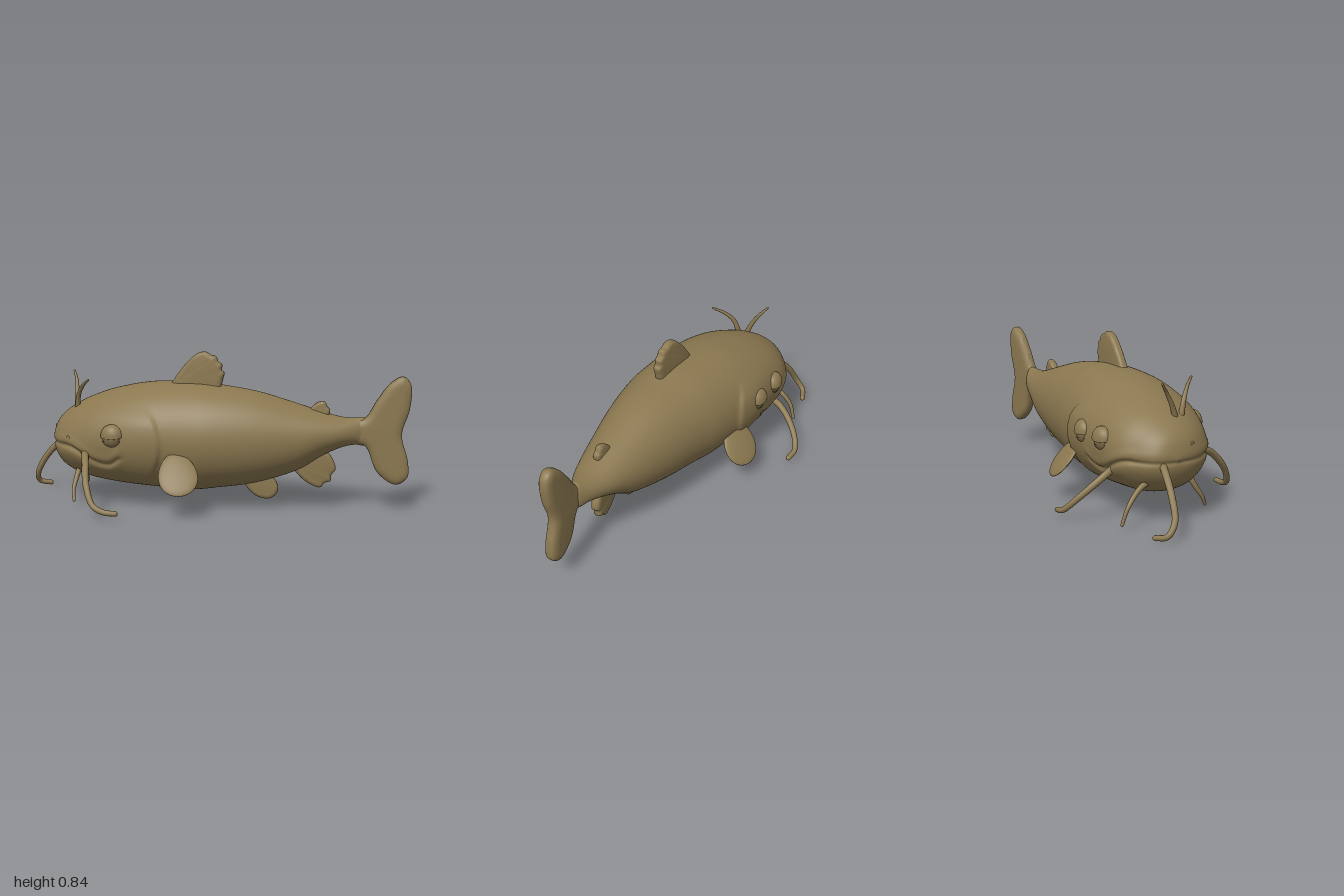
import * as THREE from 'three';
import { toCreasedNormals } from 'three/addons/utils/BufferGeometryUtils.js';

const skin = new THREE.MeshStandardMaterial({ color: 0x8b7850 });
skin.name = 'olive brown skin';

const V = (x, y, z) => new THREE.Vector3(x, y, z);
const bell = (d, w) => Math.exp(-(d * d) / (w * w));
const step = THREE.MathUtils.smoothstep;

function part(parent, name, geometry) {
  const m = new THREE.Mesh(geometry, skin);
  m.name = name;
  parent.add(m);
  return m;
}

// Body cross-sections: along, top, bottom, half width, sideways offset
const sections = [
  [-0.805, 0.35, 0.34, 0.004, -0.09], [-0.79, 0.42, 0.275, 0.085, -0.085],
  [-0.76, 0.47, 0.22, 0.145, -0.078], [-0.7, 0.52, 0.175, 0.205, -0.07],
  [-0.6, 0.575, 0.138, 0.265, -0.068], [-0.45, 0.63, 0.115, 0.302, -0.055],
  [-0.24, 0.672, 0.098, 0.311, -0.045], [0, 0.68, 0.09, 0.292, -0.035],
  [0.146, 0.667, 0.108, 0.272, -0.028], [0.35, 0.635, 0.142, 0.232, -0.035],
  [0.567, 0.573, 0.215, 0.178, -0.05], [0.7, 0.532, 0.298, 0.137, -0.06],
  [0.8, 0.508, 0.345, 0.1, -0.068], [0.87, 0.506, 0.36, 0.066, -0.076],
  [0.915, 0.51, 0.356, 0.04, -0.08], [0.93, 0.49, 0.375, 0.028, -0.08], [0.932, 0.44, 0.43, 0.004, -0.08],
];

function bodyGeometry() {
  const heights = new THREE.CatmullRomCurve3(sections.map(r => V(r[0], r[1], r[2])), false, 'catmullrom');
  const widths = new THREE.CatmullRomCurve3(sections.map(r => V(r[3], r[4], 0)), false, 'catmullrom');
  const rows = 260, cols = 180, pos = [], index = [];
  const headCentre = V(-0.35, 0.34, -0.06), p = V();
  for (let i = 0; i <= rows; i++) {
    const h = heights.getPoint(i / rows), w = widths.getPoint(i / rows);
    for (let j = 0; j < cols; j++) {
      const a = (j / cols) * Math.PI * 2;
      p.set(h.x, (h.y + h.z) / 2 + (h.y - h.z) / 2 * Math.cos(a), w.y + w.x * Math.sin(a));
      const s = p.x, y = p.y;
      // mouth groove with a lip above and below, curling up at the corners
      const mouthY = 0.335 - 0.085 * step(s, -0.68, -0.44) + 0.045 * step(s, -0.42, -0.33);
      const inMouth = (1 - step(s, -0.37, -0.32)) * (0.3 + 0.7 * step(s, -0.8, -0.62));
      const d = y - mouthY;
      let k = inMouth * (0.018 * bell(d - 0.035, 0.026) + 0.01 * bell(d + 0.04, 0.03) - 0.045 * bell(d, 0.012));
      // gill cover standing proud of the flank
      const edge = -0.13 - 2 * (y - 0.37) ** 2;
      const lift = (1 - step(s, edge - 0.016, edge + 0.016)) * step(s, -0.5, -0.2);
      k += 0.05 * lift * step(y, 0.1, 0.2) * (1 - step(y, 0.46, 0.58));
      p.sub(headCentre).multiplyScalar(1 + k).add(headCentre);
      pos.push(p.x, p.y, p.z);
      if (i < rows) {
        const n = (j + 1) % cols, A = i * cols + j, B = i * cols + n;
        index.push(A, B, A + cols, B, B + cols, A + cols);
      }
    }
  }
  const g = new THREE.BufferGeometry();
  g.setAttribute('position', new THREE.Float32BufferAttribute(pos, 3));
  g.setIndex(index);
  g.computeVertexNormals();
  return g;
}

// Upright fin from a smooth closed outline, rounded at the rim and turned about its middle
function uprightFin(parent, name, outline, offset, thick, bevel, turn = 0) {
  const curve = new THREE.CatmullRomCurve3(outline.map(q => V(q[0], q[1], 0)), true);
  const shape = new THREE.Shape(curve.getPoints(90).map(q => new THREE.Vector2(q.x, q.y)));
  const g = new THREE.ExtrudeGeometry(shape, {
    depth: thick * 0.3, bevelThickness: thick * 0.35, bevelSize: bevel, bevelOffset: -bevel, bevelSegments: 5,
  });
  const middle = outline.reduce((sum, q) => sum + q[0], 0) / outline.length;
  g.translate(-middle, 0, -thick * 0.15);
  const m = part(parent, name, toCreasedNormals(g, 1));
  m.position.set(middle, 0, offset);
  m.rotation.y = turn;
}

// Paddle fin: a flat ellipsoid set along two directions
function paddle(parent, name, centre, along, across, size) {
  const x = along.clone().normalize();
  const z = x.clone().cross(across).normalize();
  const y = z.clone().cross(x);
  const g = new THREE.SphereGeometry(1, 32, 20);
  g.scale(...size);
  // broader toward the free end
  const p = g.attributes.position;
  for (let i = 0; i < p.count; i++) p.setY(i, p.getY(i) * (1 + 0.15 * p.getX(i) / size[0]));
  g.computeVertexNormals();
  const m = part(parent, name, g);
  m.quaternion.setFromRotationMatrix(new THREE.Matrix4().makeBasis(x, y, z));
  m.position.copy(centre);
}

// Tapering whisker with a round tip
function whisker(parent, name, points, r0, r1) {
  const curve = new THREE.CatmullRomCurve3(points.map(q => V(...q)));
  const rings = 40, sides = 12;
  const g = new THREE.TubeGeometry(curve, rings, 1, sides);
  const p = g.attributes.position, v = V();
  for (let i = 0; i <= rings; i++) {
    const c = curve.getPointAt(i / rings), r = r0 + (r1 - r0) * i / rings;
    for (let j = 0; j <= sides; j++) {
      const n = i * (sides + 1) + j;
      v.fromBufferAttribute(p, n).sub(c).multiplyScalar(r).add(c);
      p.setXYZ(n, v.x, v.y, v.z);
    }
  }
  part(parent, name, g);
  part(parent, name + 'Tip', new THREE.SphereGeometry(r1, 12, 8)).position.copy(curve.getPoint(1));
}

// Bulging eye with a heavy upper lid and a lower lid
function eye(parent, name, position, turn) {
  const e = new THREE.Group();
  e.name = name;
  part(e, 'eyeball', new THREE.SphereGeometry(0.054, 28, 20));
  const lid = part(e, 'upperLid', new THREE.SphereGeometry(0.062, 32, 14, 0, Math.PI * 2, 0, Math.PI / 2));
  lid.rotation.x = 0.12;
  const rim = part(e, 'lidRim', new THREE.TorusGeometry(0.057, 0.006, 8, 32));
  rim.rotation.x = Math.PI / 2 + 0.12;
  const low = part(e, 'lowerLid', new THREE.SphereGeometry(0.06, 32, 12, 0, Math.PI * 2, Math.PI * 0.62, Math.PI * 0.38));
  low.rotation.x = 0.1;
  e.scale.z = 0.75;
  e.position.set(...position);
  e.rotation.y = turn;
  parent.add(e);
}

export function createModel() {
  const model = new THREE.Group();
  model.name = 'catfish';

  // Body parts share a frame whose x axis runs from head to tail
  const fish = new THREE.Group();
  fish.name = 'fishBody';
  fish.rotation.y = 0.458;
  model.add(fish);
  part(fish, 'body', bodyGeometry());

  // Fins on the midline
  uprightFin(fish, 'tailFin', [
    [0.85, 0.48], [0.92, 0.505], [0.98, 0.6], [1.05, 0.695], [1.115, 0.73], [1.155, 0.69], [1.153, 0.56],
    [1.115, 0.42], [1.15, 0.28], [1.15, 0.19], [1.09, 0.15], [0.99, 0.215], [0.925, 0.355], [0.85, 0.385],
  ], -0.082, 0.07, 0.045, 0.11);
  uprightFin(fish, 'dorsalFin', [
    [-0.13, 0.64], [-0.1, 0.7], [-0.04, 0.78], [0.02, 0.835], [0.065, 0.847], [0.1, 0.83], [0.125, 0.822],
    [0.138, 0.795], [0.158, 0.78], [0.157, 0.752], [0.17, 0.735], [0.163, 0.7], [0.14, 0.64], [0, 0.62],
  ], -0.007, 0.05, 0.026);
  uprightFin(fish, 'smallBackFin', [
    [0.6, 0.51], [0.63, 0.55], [0.67, 0.585], [0.705, 0.59], [0.72, 0.565], [0.735, 0.545], [0.72, 0.5], [0.66, 0.48],
  ], -0.056, 0.04, 0.016);
  uprightFin(fish, 'bellyFin', [
    [0.28, 0.17], [0.31, 0.11], [0.36, 0.07], [0.42, 0.06], [0.455, 0.08], [0.47, 0.115], [0.46, 0.15], [0.42, 0.2], [0.34, 0.22],
  ], 0.0, 0.05, 0.022, 0.14);
  uprightFin(fish, 'analFin', [
    [0.54, 0.25], [0.58, 0.185], [0.64, 0.14], [0.69, 0.125], [0.715, 0.15], [0.745, 0.16], [0.75, 0.195],
    [0.77, 0.22], [0.765, 0.26], [0.72, 0.32], [0.62, 0.32],
  ], -0.047, 0.05, 0.022, 0.18);

  // Side fins, eyes and nostrils
  for (const [side, s, z, name] of [[1, -0.014, 0.311, 'front'], [-1, -0.11, -0.36, 'rear']])
    paddle(fish, name + 'SideFin', V(s, 0.236, z), V(0.037, -0.1, 0.075 * side), V(0.109, 0, -0.022 * side), [0.128, 0.102, 0.02]);
  eye(fish, 'frontEye', [-0.385, 0.415, 0.252], -0.15);
  eye(fish, 'rearEyeForward', [-0.48, 0.415, -0.335], Math.PI + 0.25);
  eye(fish, 'rearEyeBack', [-0.3, 0.415, -0.348], Math.PI);
  for (const [x, y, z, turn] of [[-0.775, 0.41, 0.005, -1.2], [-0.657, 0.375, 0.165, -0.6]]) {
    const n = part(fish, 'nostril', new THREE.TorusGeometry(0.012, 0.005, 8, 16));
    n.position.set(x, y, z);
    n.rotation.y = turn;
  }

  // Whiskers
  whisker(model, 'snoutWhisker', [[-0.73, 0.34, 0.19], [-0.8, 0.3, 0.205], [-0.89, 0.21, 0.23], [-0.96, 0.1, 0.24], [-0.985, 0.04, 0.205], [-0.95, 0.022, 0.15]], 0.02, 0.014);
  whisker(model, 'rearChinWhisker', [[-0.67, 0.24, 0.17], [-0.73, 0.2, 0.09], [-0.78, 0.12, 0.03], [-0.79, 0.035, 0]], 0.017, 0.009);
  whisker(model, 'rearMouthWhisker', [[-0.57, 0.29, 0], [-0.635, 0.23, -0.09], [-0.65, 0.13, -0.21], [-0.62, 0.06, -0.285], [-0.56, 0.042, -0.315]], 0.02, 0.014);
  whisker(model, 'frontChinWhisker', [[-0.52, 0.22, 0.34], [-0.515, 0.14, 0.385], [-0.5, 0.085, 0.42], [-0.48, 0.037, 0.438]], 0.017, 0.008);
  whisker(model, 'frontMouthWhisker', [[-0.43, 0.32, 0.4], [-0.35, 0.275, 0.48], [-0.27, 0.17, 0.56], [-0.2, 0.075, 0.585], [-0.14, 0.048, 0.57], [-0.08, 0.045, 0.545]], 0.021, 0.014);
  whisker(model, 'crownWhiskerForward', [[-0.605, 0.52, 0.27], [-0.625, 0.59, 0.25], [-0.655, 0.66, 0.22], [-0.695, 0.71, 0.197]], 0.016, 0.006);
  whisker(model, 'crownWhiskerBack', [[-0.575, 0.52, 0.3], [-0.55, 0.6, 0.315], [-0.5, 0.655, 0.335], [-0.435, 0.693, 0.362]], 0.016, 0.006);
  return model;
}
